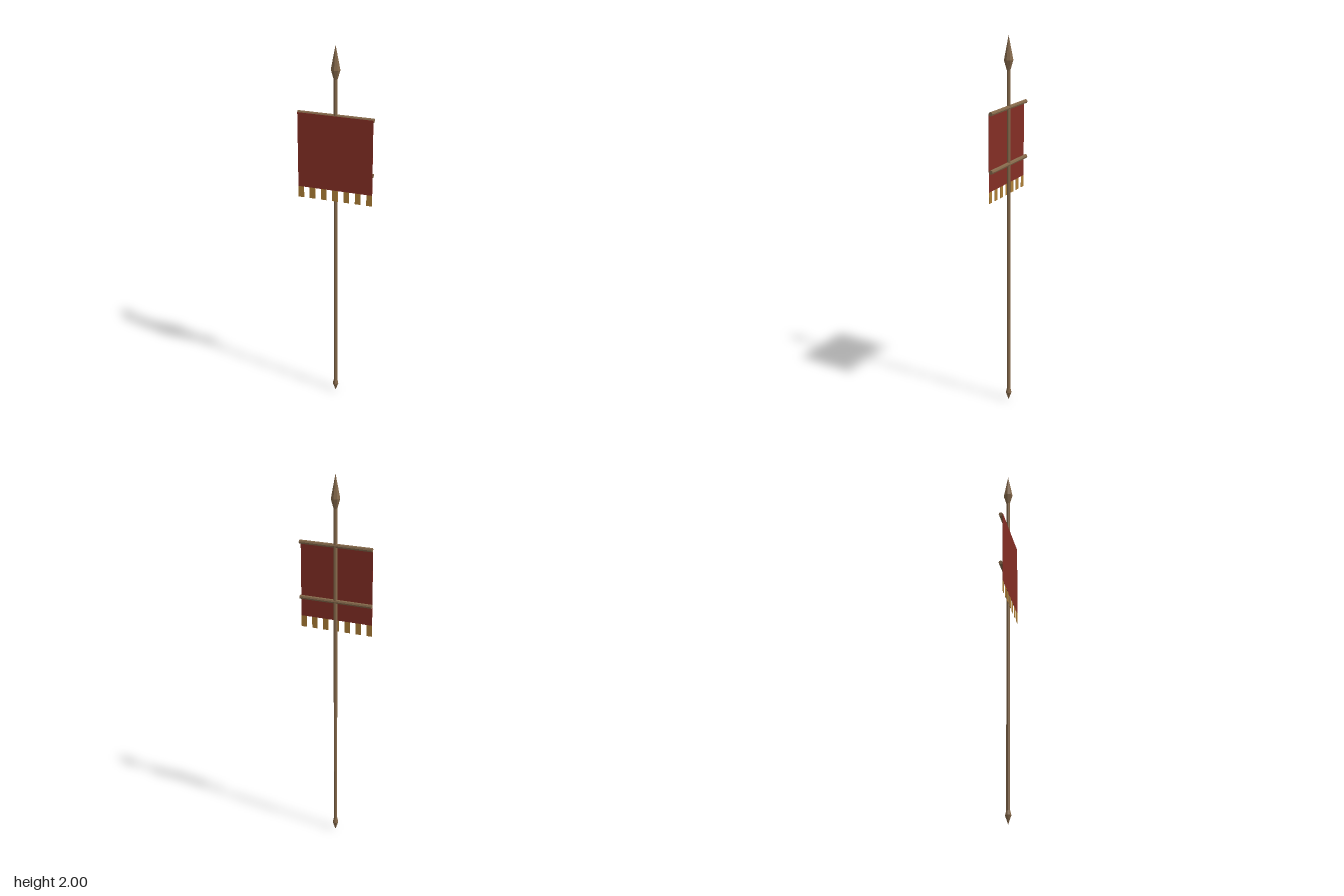
import * as THREE from 'three';

export function createModel() {
  const wood = new THREE.MeshStandardMaterial({ color: 0x84684a, flatShading: true });
  wood.name = 'brown wood';
  const cloth = new THREE.MeshStandardMaterial({ color: 0x842e24 });
  cloth.name = 'red cloth';
  const gold = new THREE.MeshStandardMaterial({ color: 0xae7f36 });
  gold.name = 'gold fringe';

  const model = new THREE.Group();
  model.name = 'bannerPole';
  const add = (name, geometry, material, x = 0, y = 0, z = 0) => {
    const mesh = new THREE.Mesh(geometry, material);
    mesh.name = name;
    mesh.position.set(x, y, z);
    model.add(mesh);
    return mesh;
  };
  const lathe = (points) =>
    new THREE.LatheGeometry(points.map(([r, y]) => new THREE.Vector2(r, y)), 8);

  // Pole with a pointed foot and a leaf-shaped spear tip
  add('pole', new THREE.CylinderGeometry(0.01, 0.01, 1.78, 8), wood, 0, 0.95);
  add('footSpike', lathe([[0, 0], [0.016, 0.045], [0.01, 0.07]]), wood);
  add('spearHead', lathe([[0.01, 1.825], [0.025, 1.875], [0, 2]]), wood);

  // Two crossbars behind the cloth
  for (const [name, y] of [['upperCrossbar', 1.635], ['lowerCrossbar', 1.34]]) {
    const bar = add(name, new THREE.CylinderGeometry(0.011, 0.011, 0.402, 8), wood, 0, y);
    bar.rotation.z = Math.PI / 2;
  }

  // Cloth hanging against the front of the bars
  const top = 1.638, hem = 1.235, clothZ = 0.0108;
  add('bannerCloth', new THREE.BoxGeometry(0.4, top - hem, 0.002), cloth, 0, (top + hem) / 2, clothZ);

  // Seven tabs, with gaps as wide as the tabs
  const tabWidth = 0.4 / 13, tabHeight = 0.06;
  for (let i = 0; i < 7; i++) {
    add('fringeTab' + (i + 1), new THREE.BoxGeometry(tabWidth, tabHeight, 0.002), gold,
      (i - 3) * 2 * tabWidth, hem - tabHeight / 2, clothZ);
  }
  return model;
}
